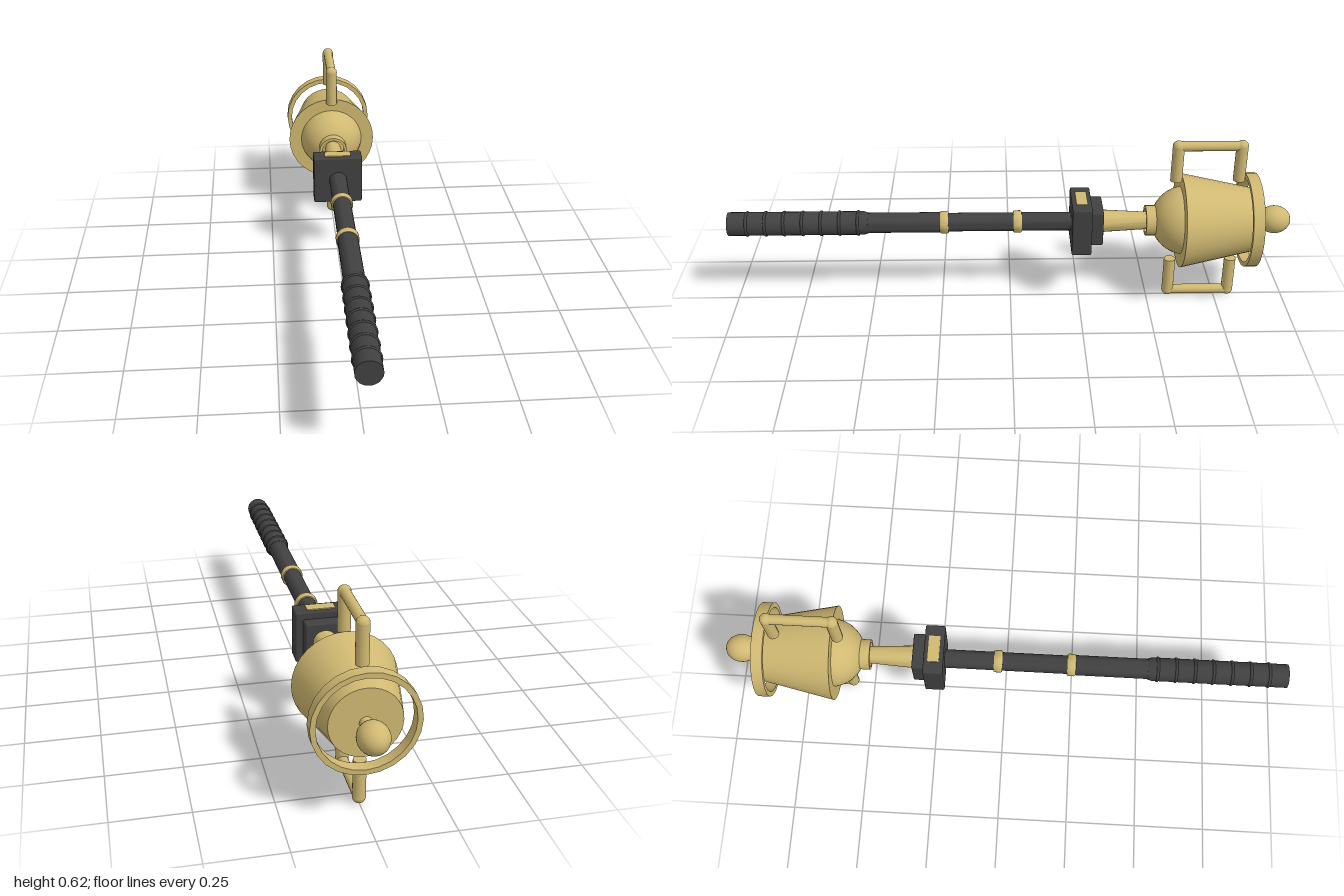
import * as THREE from 'three';
import { toCreasedNormals } from 'three/addons/utils/BufferGeometryUtils.js';
import { RoundedBoxGeometry } from 'three/addons/geometries/RoundedBoxGeometry.js';

export function createModel() {
  const AXIS_Y = 0.3125;
  const gold = new THREE.MeshStandardMaterial({ color: 0xd0b972 });
  gold.name = 'pale gold';
  const dark = new THREE.MeshStandardMaterial({ color: 0x414141 });
  dark.name = 'charcoal';

  const model = new THREE.Group();
  model.name = 'lanternMace';
  const body = new THREE.Group();
  body.name = 'axisParts';
  body.position.y = AXIS_Y;
  model.add(body);

  function add(parent, name, geometry, material, x = 0, y = 0, z = 0) {
    const mesh = new THREE.Mesh(geometry, material);
    mesh.name = name;
    mesh.position.set(x, y, z);
    parent.add(mesh);
    return mesh;
  }

  // Solid of revolution about z; profile is [radius, z] with z rising on the outside
  function turned(name, profile, material, sides = 24) {
    const points = profile.map(([r, z]) => new THREE.Vector2(r, z));
    const geometry = new THREE.LatheGeometry(points, sides).rotateX(Math.PI / 2);
    return add(body, name, toCreasedNormals(geometry, 0.6), material);
  }

  // Closed tube ring about z
  const hoop = (name, rIn, rOut, z0, z1, material) =>
    turned(name, [[rIn, z0], [rOut, z0], [rOut, z1], [rIn, z1], [rIn, z0]], material);

  // Shaft and grip
  turned('shaft', [[0, -0.23], [0.033, -0.23], [0.033, 0.23], [0.036, 0.24], [0.036, 0.52], [0, 0.52]], dark);
  turned('grip', [[0, 0.505], [0.037, 0.505], [0.042, 0.52], [0.042, 1], [0, 1]], dark);
  for (let i = 0; i < 7; i++) {
    const ridge = new THREE.TorusGeometry(0.0405, 0.0055, 8, 24);
    add(body, 'gripRidge', ridge, dark, 0, 0, 0.54 + i * 0.0655);
  }
  for (const z of [-0.025, 0.235]) {
    turned('shaftBand', [
      [0.03, z - 0.015], [0.037, z - 0.015], [0.04, z - 0.01],
      [0.04, z + 0.01], [0.037, z + 0.015], [0.03, z + 0.015],
    ], gold);
  }

  // Square guard with a gold plate on top
  add(body, 'guardBlock', new RoundedBoxGeometry(0.18, 0.18, 0.07, 2, 0.006), dark, 0, 0, -0.25);
  add(body, 'guardStep', new RoundedBoxGeometry(0.13, 0.13, 0.05, 2, 0.006), dark, 0, 0, -0.302);
  add(body, 'guardPlate', new THREE.BoxGeometry(0.096, 0.008, 0.04), gold, 0, 0.09, -0.25);

  // Neck, collar and domed underside of the lantern
  turned('neck', [[0, -0.52], [0.029, -0.52], [0.04, -0.325], [0, -0.325]], gold);
  hoop('collar', 0.043, 0.054, -0.515, -0.48, gold);
  add(body, 'dome', new THREE.SphereGeometry(0.123, 32, 20), gold, 0, 0, -0.625);

  // Lantern body, rim hoop and finial
  turned('lanternBody', [[0, -0.86], [0.114, -0.86], [0.169, -0.603], [0, -0.603]], gold, 32);
  hoop('rimHoop', 0.152, 0.169, -0.872, -0.832, gold);
  turned('finialStem', [[0, -0.91], [0.021, -0.91], [0.021, -0.85], [0, -0.85]], gold, 16);
  add(body, 'finialBall', new THREE.SphereGeometry(0.05, 24, 16), gold, 0, 0, -0.943).scale.z = 1.14;

  // Bracket handles above and below the lantern
  for (const side of [1, -1]) {
    const handle = new THREE.Group();
    handle.name = side > 0 ? 'upperHandle' : 'lowerHandle';
    for (const z of [-0.58, -0.8]) {
      add(handle, 'handlePost', new THREE.CylinderGeometry(0.021, 0.021, 0.132, 16), gold, 0, side * 0.226, z);
      add(handle, 'handleCorner', new THREE.SphereGeometry(0.0215, 16, 12), gold, 0, side * 0.291, z);
    }
    const bar = new THREE.CylinderGeometry(0.0175, 0.0175, 0.22, 16).rotateX(Math.PI / 2);
    add(handle, 'handleBar', bar, gold, 0, side * 0.292, -0.69);
    body.add(handle);
  }

  return model;
}
